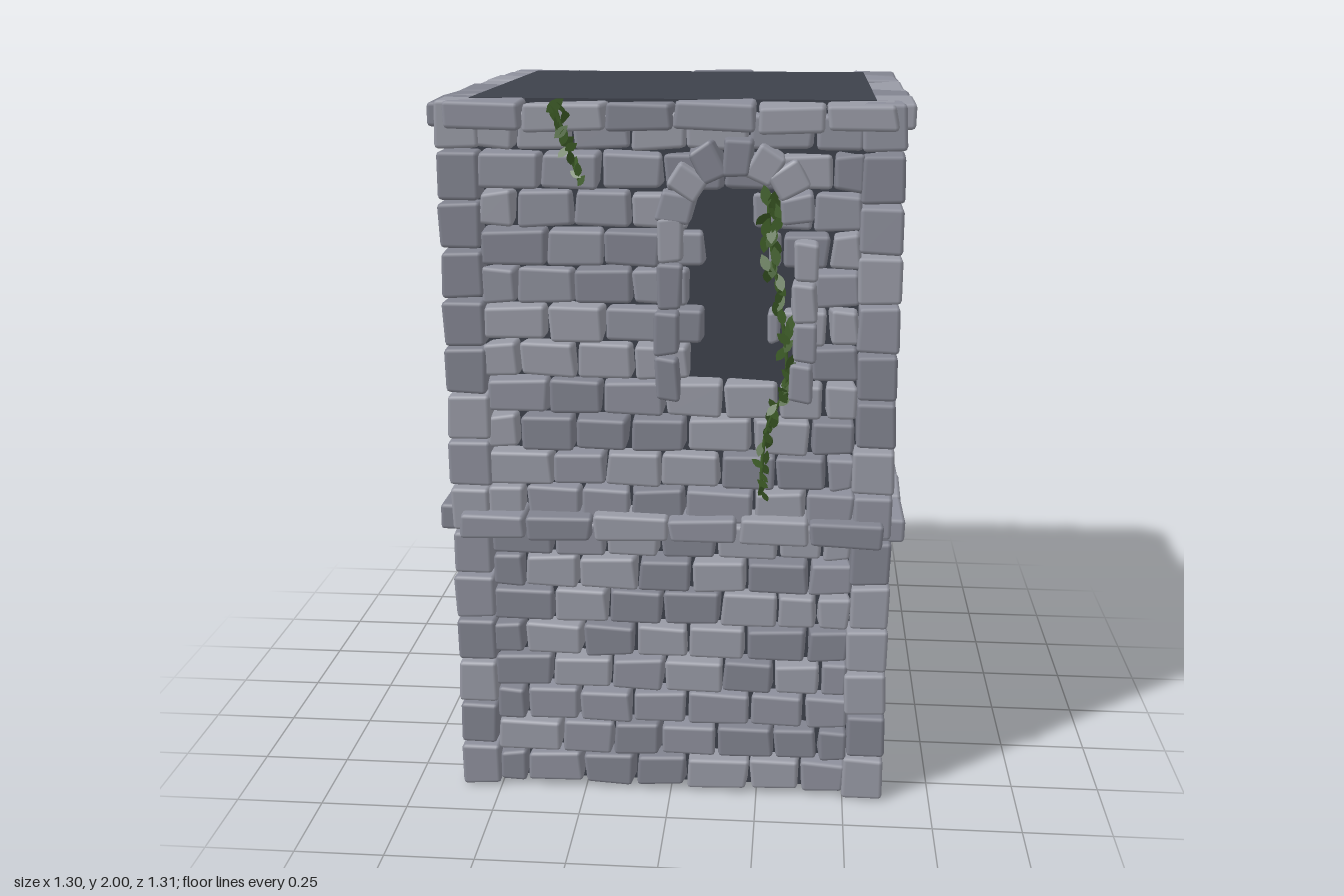
import * as THREE from 'three';
import { mergeGeometries } from 'three/addons/utils/BufferGeometryUtils.js';
import { RoundedBoxGeometry } from 'three/addons/geometries/RoundedBoxGeometry.js';

const TONES = [0x8d8f9b, 0x989aa5, 0x81838f].map((color) => new THREE.MeshStandardMaterial({ color }));
const DARK = new THREE.MeshStandardMaterial({ color: 0x3d414b });
const GREEN = new THREE.MeshStandardMaterial({ color: 0x3f5f28, side: THREE.DoubleSide });

let seed = 11;
const rand = () => (seed = (seed * 16807) % 2147483647) / 2147483647;
const jitter = (a) => (rand() * 2 - 1) * a;

// Worn block: rounded box whose eight corners are nudged, then placed
function stone(x, y, z, w, h, d, tilt = 0, wear = 0.005) {
  const g = new RoundedBoxGeometry(w, h, d, 1, 0.011);
  const nudge = Array.from({ length: 8 }, () => [jitter(wear), jitter(wear), jitter(wear * 0.6)]);
  const p = g.attributes.position;
  for (let i = 0; i < p.count; i++) {
    const n = nudge[(p.getX(i) > 0 ? 1 : 0) + (p.getY(i) > 0 ? 2 : 0) + (p.getZ(i) > 0 ? 4 : 0)];
    p.setXYZ(i, p.getX(i) + n[0], p.getY(i) + n[1], p.getZ(i) + n[2]);
  }
  return g.rotateZ(tilt).translate(x, y, z);
}

// Merge stones into one mesh per tone
function masonry(name, stones) {
  const group = new THREE.Group();
  group.name = name;
  const sets = TONES.map(() => []);
  stones.forEach((s) => sets[Math.floor(rand() * TONES.length)].push(s));
  sets.forEach((set, i) => {
    if (!set.length) return;
    const mesh = new THREE.Mesh(mergeGeometries(set), TONES[i]);
    mesh.name = `${name}Stones`;
    group.add(mesh);
  });
  return group;
}

// Running-bond courses; window gaps are keyed by course number
const PITCH = 0.103;
const JOINTS = [
  [-0.51, -0.41, -0.255, -0.1, 0.055, 0.22, 0.38, 0.51],
  [-0.51, -0.33, -0.175, -0.02, 0.14, 0.3, 0.425, 0.51],
];
const GAPS = { 12: [0.055, 0.38], 13: [0.095, 0.262], 14: [0.055, 0.38], 15: [0.095, 0.262], 16: [0.055, 0.22] };

function wallStones() {
  const out = [];
  const brick = (a, b, row) => {
    if (b - a < 0.03) return;
    const front = 0.602 + jitter(0.005);
    out.push(stone((a + b) / 2, 0.06 + row * PITCH, (front + 0.525) / 2, b - a - 0.009, PITCH - 0.011, front - 0.525));
  };
  for (let row = 0; row < 19; row++) {
    const j = JOINTS[row % 2].map((u, i) => (i && i < 7 ? u + (GAPS[row] ? 0 : jitter(0.012)) : u));
    const gap = GAPS[row] || [9, 9];
    for (let i = 0; i < 7; i++) {
      brick(j[i], Math.min(j[i + 1], gap[0]), row);
      brick(Math.max(j[i], gap[1]), j[i + 1], row);
    }
  }
  return out;
}

// Projecting string course along one wall
function bandStones(y, outer, shift) {
  const cuts = [-0.59];
  for (let u = -0.4 + shift; u < 0.5; u += 0.197) cuts.push(u + jitter(0.012));
  cuts.push(0.59);
  return cuts.slice(1).map((b, i) => {
    const a = cuts[i];
    return stone((a + b) / 2, y + jitter(0.003), (outer + 0.53) / 2, b - a - 0.006, 0.07, outer - 0.53);
  });
}

// Leafy vine following a path
function vine(name, points, count, spread) {
  const group = new THREE.Group();
  group.name = name;
  const curve = new THREE.CatmullRomCurve3(points.map((p) => new THREE.Vector3(...p)));
  const stem = new THREE.Mesh(new THREE.TubeGeometry(curve, 24, 0.005, 5), GREEN);
  stem.name = 'stem';
  const shape = new THREE.Shape();
  shape.moveTo(0, -0.026);
  shape.quadraticCurveTo(0.026, -0.004, 0, 0.024);
  shape.quadraticCurveTo(-0.026, -0.004, 0, -0.026);
  const leaves = [];
  for (let i = 0; i < count; i++) {
    const t = i / (count - 1);
    const p = curve.getPoint(t);
    const s = 1.15 - 0.4 * t;
    const leaf = new THREE.ShapeGeometry(shape, 4).scale(s, s, s);
    leaf.rotateX(jitter(0.5)).rotateY(jitter(0.7)).rotateZ(jitter(1));
    leaves.push(leaf.translate(p.x + jitter(spread * s), p.y, p.z + 0.008 + jitter(0.008)));
  }
  const foliage = new THREE.Mesh(mergeGeometries(leaves), GREEN);
  foliage.name = 'leaves';
  group.add(stem, foliage);
  return group;
}

export function createModel() {
  seed = 11;
  const tower = new THREE.Group();
  tower.name = 'stoneTower';

  // Dark inner block, seen through joints, windows, top and bottom
  const core = new THREE.Mesh(new THREE.BoxGeometry(1.072, 1.993, 1.072), DARK);
  core.name = 'core';
  core.position.y = 0.9965;
  tower.add(core);

  // Four walls with their string courses
  ['front', 'right', 'back', 'left'].forEach((side, i) => {
    const wall = new THREE.Group();
    wall.name = `${side}Side`;
    wall.add(
      masonry('wall', wallStones()),
      masonry('middleBand', bandStones(0.828, 0.65, 0)),
      masonry('topBand', bandStones(1.953, 0.638, 0.03)),
    );
    wall.rotation.y = [0, Math.PI / 2, Math.PI, -Math.PI / 2][i];
    tower.add(wall);
  });

  // Corner quoins
  for (const sx of [-1, 1]) for (const sz of [-1, 1]) {
    const quoins = [];
    for (let k = 0; k < 15; k++) {
      const w = 0.112 + jitter(0.006), d = 0.112 + jitter(0.006);
      quoins.push(stone(sx * (0.614 - w / 2), 0.067 + k * 0.133, sz * (0.614 - d / 2), w, 0.124, d, 0, 0.003));
    }
    tower.add(masonry('cornerQuoins', quoins));
  }

  // Front window surround: jambs and arch of voussoirs
  const surround = [];
  for (const [x, top] of [[0, 1.7], [0.36, 1.64]]) {
    const n = 4, h = (top - 1.2) / n;
    for (let k = 0; k < n; k++) {
      surround.push(stone(x + jitter(0.006), 1.2 + h * (k + 0.5), 0.595, 0.064, h - 0.007, 0.11));
    }
  }
  for (let k = 0; k < 7; k++) {
    const a = Math.PI * (0.06 + (0.88 * k) / 6);
    const r = 0.163 + jitter(0.006);
    surround.push(stone(0.18 + Math.cos(a) * r, 1.69 + Math.sin(a) * r, 0.6 + 0.004 * (k % 2),
      0.076, 0.092, 0.1, a - Math.PI / 2 + jitter(0.1)));
  }
  tower.add(masonry('windowSurround', surround));

  // Ivy
  tower.add(
    vine('windowIvy', [[0.26, 1.76, 0.63], [0.27, 1.63, 0.625], [0.3, 1.45, 0.625], [0.315, 1.25, 0.625],
      [0.265, 1.12, 0.612], [0.25, 0.93, 0.612]], 52, 0.022),
    vine('topIvy', [[-0.29, 1.985, 0.642], [-0.265, 1.9, 0.635], [-0.235, 1.79, 0.612]], 16, 0.02),
  );
  return tower;
}
